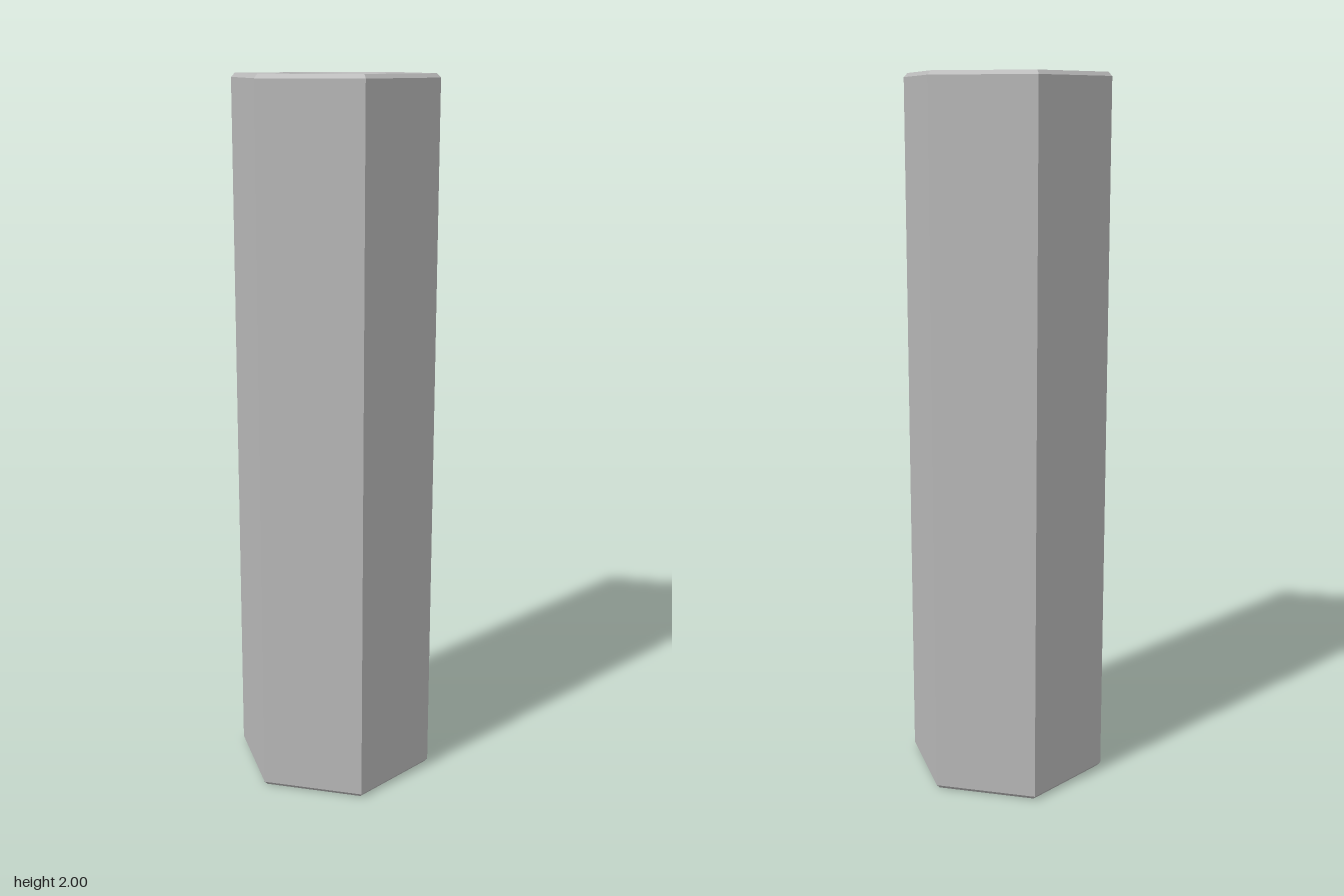
import * as THREE from 'three';
import { toCreasedNormals } from 'three/addons/utils/BufferGeometryUtils.js';

const HEIGHT = 2, CORNER = 0.5 / Math.sqrt(3), CHAMFER = 0.011;
const SINK = 0.145, MINOR = 0.1025, MAJOR = 0.125, PITCH = 0.045, SEGMENTS = 48;

// Thread profile over one pitch: [fraction of pitch, radius]
const depth = MAJOR - MINOR;
const PROFILE = [
  [-1 / 16, MAJOR], [1 / 16, MAJOR],
  [9 / 64, MAJOR - depth / 4], [14 / 64, MAJOR - depth / 2], [19 / 64, MAJOR - depth * 0.75],
  [3 / 8, MINOR], [1 / 2, MINOR], [5 / 8, MINOR],
  [45 / 64, MAJOR - depth * 0.75], [50 / 64, MAJOR - depth / 2], [55 / 64, MAJOR - depth / 4],
];

// Threaded hole: helical rows clipped to the ends and opened by 45 degree countersinks
function threadedBore() {
  const positions = [], index = [];
  const turns = Math.ceil(HEIGHT / PITCH) + 4;
  const cols = SEGMENTS + 1;
  let rows = 0;
  for (let t = -turns; t <= 2; t++) {
    for (const [u, threadRadius] of PROFILE) {
      for (let j = 0; j < cols; j++) {
        const a = (j / SEGMENTS) * Math.PI * 2;
        const rise = t + u + a / (Math.PI * 2) - 0.25;
        const y = THREE.MathUtils.clamp(1.975 + PITCH * rise, 0, HEIGHT);
        const r = y <= 0 || y >= HEIGHT ? SINK
          : Math.max(threadRadius, SINK - y, SINK - (HEIGHT - y));
        positions.push(r * Math.cos(a), y, -r * Math.sin(a));
      }
      rows++;
    }
  }
  // Rows squeezed flat against either end are left out
  const inside = (...ids) => {
    const ys = ids.map((i) => positions[i * 3 + 1]);
    return Math.max(...ys) > 1e-6 && Math.min(...ys) < HEIGHT - 1e-6;
  };
  for (let i = 0; i < rows - 1; i++) {
    for (let j = 0; j < SEGMENTS; j++) {
      const a = i * cols + j, b = a + 1, c = a + cols, d = c + 1;
      if (inside(a, b, c)) index.push(a, c, b);
      if (inside(b, c, d)) index.push(b, c, d);
    }
  }
  const geometry = new THREE.BufferGeometry();
  geometry.setAttribute('position', new THREE.Float32BufferAttribute(positions, 3));
  geometry.setIndex(index);
  return toCreasedNormals(geometry, 0.45);
}

// Hexagonal end face with a round opening
function endFace() {
  const shape = new THREE.Shape();
  const r = CORNER - CHAMFER;
  for (let i = 0; i < 6; i++) {
    const a = (i * Math.PI) / 3;
    shape[i ? 'lineTo' : 'moveTo'](r * Math.cos(a), r * Math.sin(a));
  }
  shape.closePath();
  const hole = new THREE.Path();
  hole.absarc(0, 0, SINK, 0, Math.PI * 2, true);
  shape.holes.push(hole);
  return new THREE.ShapeGeometry(shape, SEGMENTS);
}

export function createModel() {
  const group = new THREE.Group();
  group.name = 'hexStandoff';
  const metal = new THREE.MeshStandardMaterial({ color: 0xb8b8b8 });
  metal.name = 'grey metal';

  const add = (name, geometry) => {
    const mesh = new THREE.Mesh(geometry, metal);
    mesh.name = name;
    group.add(mesh);
    return mesh;
  };

  // Six flat sides with chamfered ends
  const outline = [
    [CORNER - CHAMFER, 0], [CORNER, CHAMFER],
    [CORNER, HEIGHT - CHAMFER], [CORNER - CHAMFER, HEIGHT],
  ].map(([x, y]) => new THREE.Vector2(x, y));
  add('hexBody', toCreasedNormals(new THREE.LatheGeometry(outline, 6, Math.PI / 2), 0.3));

  // End faces
  const top = add('topFace', endFace());
  top.rotation.x = -Math.PI / 2;
  top.position.y = HEIGHT;
  add('bottomFace', endFace()).rotation.x = Math.PI / 2;

  add('threadedBore', threadedBore());
  return group;
}
